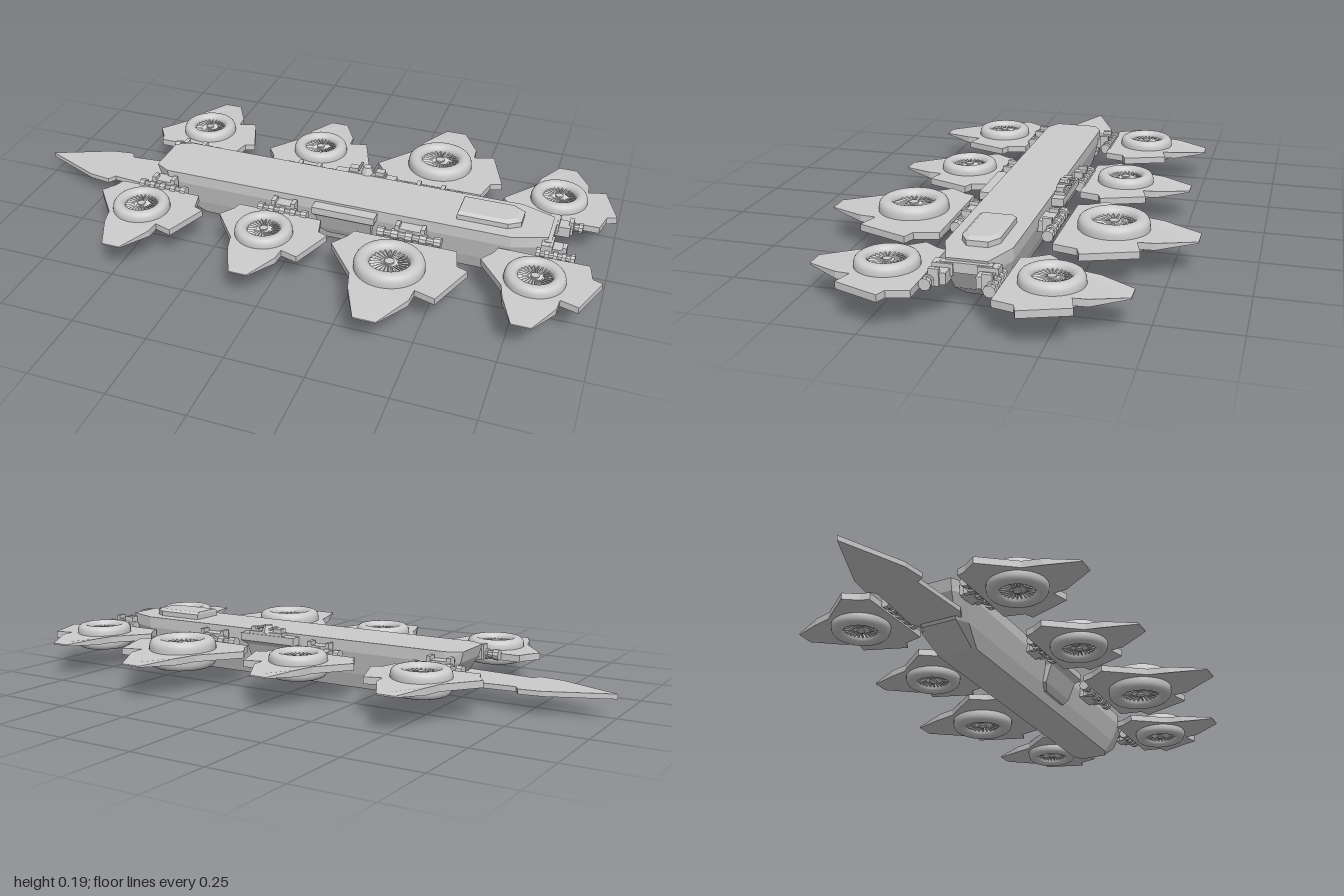
import * as THREE from 'three';

const mat = new THREE.MeshStandardMaterial({ color: 0xcccccc, flatShading: true });
const smooth = new THREE.MeshStandardMaterial({ color: 0xcccccc });

function add(parent, name, geo, x = 0, y = 0, z = 0, m = mat) {
  const mesh = new THREE.Mesh(geo, m);
  mesh.name = name;
  mesh.position.set(x, y, z);
  parent.add(mesh);
  return mesh;
}

const box = (x, y, z) => new THREE.BoxGeometry(x, y, z);

// Octagonal outline: blunt left end, straight sides, blunt right end
function deckOutline(y, x0, xa, xb, x1, w, w0, w1) {
  const side = [[x0, w0], [xa, w], [xb, w], [x1, w1]];
  const back = side.map(([x, z]) => [x, -z]).reverse();
  return [...side, ...back].map(([x, z]) => new THREE.Vector3(x, y, z));
}

// Faceted solid through stacked outlines, lowest first
function loft(sections) {
  const tris = [], n = sections[0].length;
  for (let s = 0; s < sections.length - 1; s++) {
    const a = sections[s], b = sections[s + 1];
    for (let i = 0; i < n; i++) {
      const j = (i + 1) % n;
      tris.push(a[i], a[j], b[j], a[i], b[j], b[i]);
    }
  }
  const lo = sections[0], hi = sections[sections.length - 1];
  for (let i = 1; i < n - 1; i++) tris.push(hi[0], hi[i], hi[i + 1], lo[0], lo[i + 1], lo[i]);
  const geo = new THREE.BufferGeometry().setFromPoints(tris);
  geo.computeVertexNormals();
  return geo;
}

// Flat slab from an outline in x and z
function slab(points, thickness) {
  const shape = new THREE.Shape(points.map(([x, z]) => new THREE.Vector2(x, -z)));
  const geo = new THREE.ExtrudeGeometry(shape, { depth: thickness, bevelEnabled: false });
  return geo.rotateX(-Math.PI / 2).translate(0, -thickness / 2, 0);
}

// Rotor pod: winged plate, rounded duct, hub and blades; side is +1 or -1 in z
function rotorPod(side, s) {
  const pod = new THREE.Group();
  pod.name = 'rotorPod';
  const outline = [[-0.03, 0.22], [0.03, 0.22], [0.085, 0.118], [0.088, 0.075], [0.145, 0.092],
    [0.197, -0.048], [0.165, -0.06], [0.15, -0.125], [-0.135, -0.125], [-0.145, -0.095],
    [-0.176, -0.05], [-0.09, 0.06], [-0.075, 0.118]];
  const plate = slab(outline.map(([x, v]) => [x * s, v * s * side]), 0.022);
  // thin the plate toward its outer tip
  const p = plate.attributes.position;
  for (let i = 0; i < p.count; i++) {
    const v = Math.abs(p.getZ(i)) / s;
    if (v > 0.2) p.setY(i, p.getY(i) * 0.2);
  }
  plate.computeVertexNormals();
  add(pod, 'wingPlate', plate);

  const profile = new THREE.Shape();
  const r0 = 0.052 * s, r1 = 0.094 * s, h = 0.041 * s;
  profile.moveTo(r0, -h * 0.55);
  profile.quadraticCurveTo(r0 + 0.004, -h, r0 + 0.02 * s, -h);
  profile.quadraticCurveTo(r1, -h, r1, -h * 0.35);
  profile.lineTo(r1, h * 0.35);
  profile.quadraticCurveTo(r1, h, r0 + 0.02 * s, h);
  profile.quadraticCurveTo(r0 + 0.004, h, r0, h * 0.55);
  profile.lineTo(r0, -h * 0.55);
  add(pod, 'duct', new THREE.LatheGeometry(profile.getPoints(5), 36), 0, 0, 0, smooth);

  add(pod, 'hub', new THREE.CylinderGeometry(0.013 * s, 0.013 * s, h * 1.4, 14));
  for (const level of [-1, 1]) {
    for (let i = 0; i < 24; i++) {
      const a = i / 24 * Math.PI * 2;
      const geo = box(0.044 * s, 0.01 * s, 0.0035 * s).rotateX(0.6 * level);
      geo.translate(0.033 * s, level * h * 0.5, 0).rotateY(a);
      add(pod, 'blade', geo);
    }
  }
  return pod;
}

// Hinge between hull and pod: beaded bar along x plus arm blocks
function hinge(side, length) {
  const g = new THREE.Group();
  g.name = 'podHinge';
  const n = 9, step = length / n;
  for (let i = 0; i < n; i++) {
    const r = i % 2 ? 0.012 : 0.018;
    const geo = new THREE.CylinderGeometry(r, r, step, 10).rotateZ(Math.PI / 2);
    add(g, 'hingeKnuckle', geo, (i - (n - 1) / 2) * step, 0, 0);
  }
  add(g, 'hingeArm', box(length * 0.4, 0.035, 0.045), 0, 0.005, -0.025 * side);
  for (const x of [-1, 1]) add(g, 'hingeLug', box(0.014, 0.05, 0.03), x * length * 0.2, 0.01, -0.015 * side);
  return g;
}

export function createModel() {
  const model = new THREE.Group();
  model.name = 'rotorCarrier';

  // Hull with sloped ends and a chamfered keel
  add(model, 'hull', loft([
    deckOutline(0, -0.37, -0.36, 0.64, 0.68, 0.066, 0.055, 0.045),
    deckOutline(0.05, -0.48, -0.44, 0.67, 0.755, 0.083, 0.06, 0.055),
    deckOutline(0.125, -0.525, -0.48, 0.7, 0.8, 0.1, 0.07, 0.065),
    deckOutline(0.163, -0.535, -0.485, 0.7, 0.81, 0.1, 0.072, 0.06),
  ]));

  // Deckhouse with a bevelled roof
  add(model, 'deckhouse', loft([
    deckOutline(0.163, 0.515, 0.517, 0.68, 0.718, 0.057, 0.057, 0.032),
    deckOutline(0.18, 0.515, 0.517, 0.68, 0.718, 0.057, 0.057, 0.032),
    deckOutline(0.188, 0.518, 0.522, 0.67, 0.7, 0.045, 0.045, 0.024),
  ]));

  // Tail blade
  const half = [[-0.8, 0.085], [-0.725, 0.095], [-0.71, 0.07], [-0.5, 0.088], [-0.44, 0.06]];
  const tail = [[-1, 0], ...half, ...half.map(([x, z]) => [x, -z]).reverse()];
  add(model, 'tailBlade', slab(tail, 0.016), 0, 0.067, 0);

  for (const side of [-1, 1]) {
    // Side platform: wide at the top, tapering down into the hull
    const platform = (y, x0, x1, z) => [[x0, 0.03], [x0, z], [x1, z], [x1, 0.03]]
      .map(([x, w]) => new THREE.Vector3(side > 0 ? x : x0 + x1 - x, y, w * side));
    add(model, 'sidePlatform', loft([
      platform(0.032, 0.09, 0.225, 0.085),
      platform(0.055, 0.065, 0.245, 0.097),
      platform(0.115, 0.06, 0.25, 0.12),
      platform(0.13, 0.052, 0.265, 0.138),
      platform(0.155, 0.052, 0.265, 0.138),
    ]));

    // Pods: x, z, scale, hinge x, hinge z, hinge length
    const pods = [
      [-0.495, 0.277, 1, -0.482, 0.14, 0.17],
      [-0.06, 0.277, 1, -0.047, 0.14, 0.17],
      [0.37, 0.32, 1.18, 0.385, 0.143, 0.21],
      [0.8, 0.235, 1, 0.84, 0.09, 0.12],
    ];
    for (const [x, z, s, hx, hz, len] of pods) {
      const pod = rotorPod(side, s);
      pod.position.set(x, 0.11, z * side);
      model.add(pod);
      const h = hinge(side, len);
      h.position.set(hx, 0.118, hz * side);
      model.add(h);
    }
    add(model, 'noseBracket', box(0.035, 0.035, 0.06), 0.81, 0.135, 0.065 * side);
  }
  add(model, 'noseCrossbar', box(0.022, 0.03, 0.15), 0.81, 0.14, 0);

  // Turret on the rear side platform
  const turret = new THREE.Group();
  turret.name = 'turret';
  turret.position.set(0.165, 0.155, -0.117);
  add(turret, 'turretBase', box(0.13, 0.012, 0.035), 0, 0.004, 0);
  add(turret, 'turretHead', new THREE.CylinderGeometry(0.014, 0.024, 0.026, 10), 0, 0.02, 0);
  for (const x of [-0.045, 0.045]) {
    add(turret, 'turretPod', box(0.032, 0.018, 0.026), x, 0.015, 0);
    add(turret, 'barrel', new THREE.CylinderGeometry(0.005, 0.005, 0.04, 8).rotateX(Math.PI / 2), x * 0.6, 0.024, -0.01);
  }
  model.add(turret);

  return model;
}
